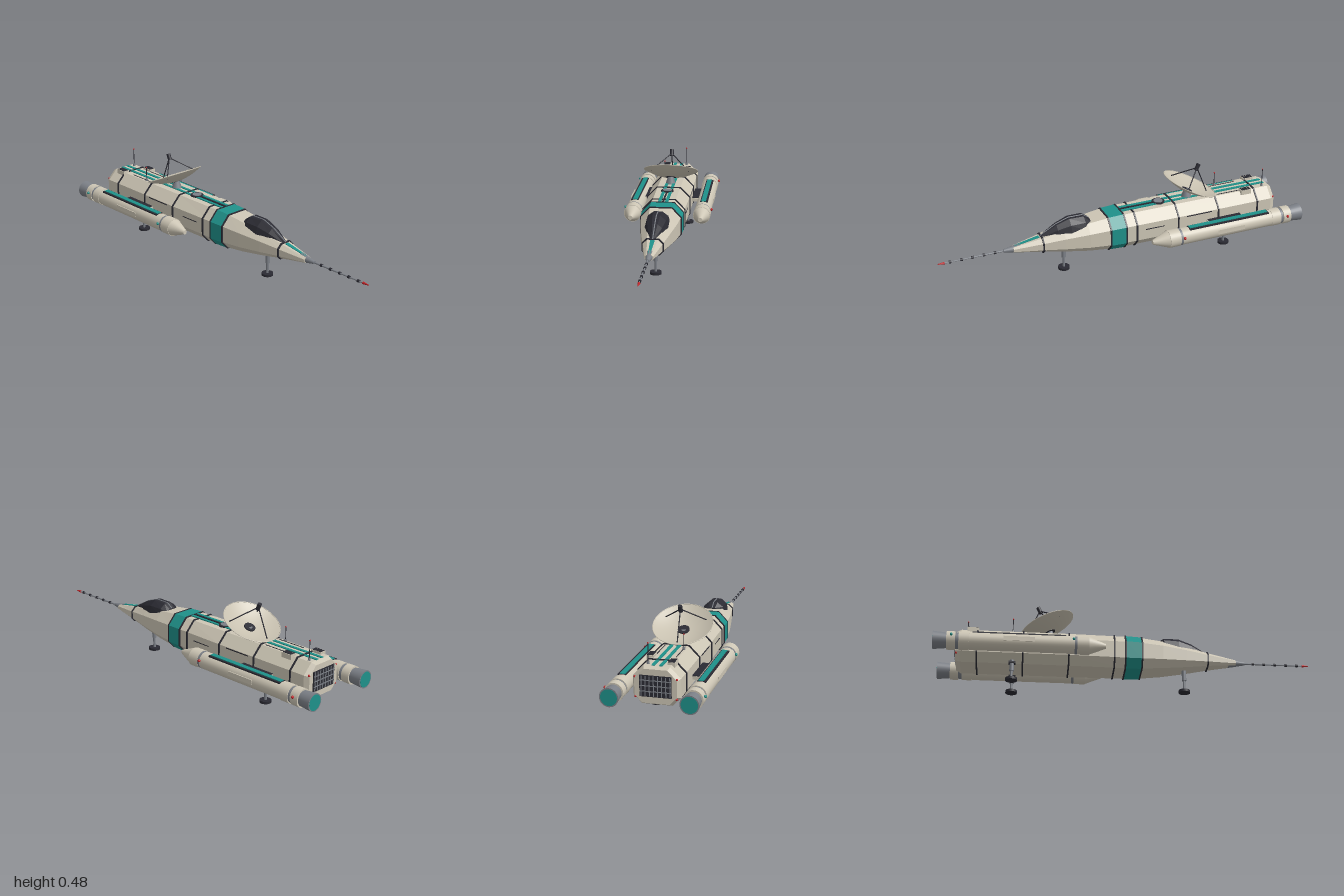
import * as THREE from 'three';

const mat = (name, color, side = THREE.FrontSide, flatShading = false) => {
  const m = new THREE.MeshStandardMaterial({ color, side, flatShading });
  m.name = name;
  return m;
};

export function createModel() {
  const ship = new THREE.Group();
  ship.name = 'spaceship';
  const cream = mat('hull cream', 0xcdc6b5);
  const teal = mat('trim teal', 0x1f918a);
  const dark = mat('dark trim', 0x2b2b33);
  const grey = mat('metal grey', 0x7c8087);
  const red = mat('signal red', 0xc02428);
  const dishCream = mat('dish cream', 0xc8c1b0, THREE.DoubleSide);

  const add = (name, geo, material, parent = ship) => {
    const m = new THREE.Mesh(geo, material);
    m.name = name;
    parent.add(m);
    return m;
  };
  const box = (name, x0, x1, y0, y1, z0, z1, material, parent) =>
    add(name, new THREE.BoxGeometry(x1 - x0, y1 - y0, z1 - z0)
      .translate((x0 + x1) / 2, (y0 + y1) / 2, (z0 + z1) / 2), material, parent);
  // cylinder along x
  const rodX = (name, x0, x1, r0, r1, y, z, material, parent, sides = 24) =>
    add(name, new THREE.CylinderGeometry(r1, r0, x1 - x0, sides)
      .rotateZ(-Math.PI / 2).translate((x0 + x1) / 2, y, z), material, parent);
  // upright cylinder
  const post = (name, x, z, y0, y1, r0, r1, material, parent, sides = 20) =>
    add(name, new THREE.CylinderGeometry(r1, r0, y1 - y0, sides)
      .translate(x, (y0 + y1) / 2, z), material, parent);
  const bead = (name, x, y, z, r, material, parent) =>
    add(name, new THREE.SphereGeometry(r, 12, 8).translate(x, y, z), material, parent);
  // thin bar between two points
  const bar = (name, a, b, r, material, parent, sides = 8) => {
    const d = b.clone().sub(a);
    const m = add(name, new THREE.CylinderGeometry(r, r, d.length(), sides), material, parent);
    m.position.copy(a).addScaledVector(d, 0.5);
    m.quaternion.setFromUnitVectors(new THREE.Vector3(0, 1, 0), d.normalize());
    return m;
  };
  // flat-faced skin over rings of [x, y, z], ordered from low x to high x
  const loft = (rings) => {
    const v = [], n = rings[0].length;
    for (let r = 0; r + 1 < rings.length; r++) {
      const a = rings[r], b = rings[r + 1];
      for (let i = 0; i < n; i++) {
        const j = (i + 1) % n;
        v.push(...a[i], ...a[j], ...b[j], ...a[i], ...b[j], ...b[i]);
      }
    }
    const a = rings[0], b = rings[rings.length - 1];
    for (let i = 1; i + 1 < n; i++) v.push(...a[0], ...a[i + 1], ...a[i], ...b[0], ...b[i], ...b[i + 1]);
    const g = new THREE.BufferGeometry();
    g.setAttribute('position', new THREE.Float32BufferAttribute(v, 3));
    g.computeVertexNormals();
    return g;
  };

  // hull stations: x, half width, bottom, top
  const stations = [
    [-0.89, 0.104, 0.112, 0.28], [-0.865, 0.117, 0.1, 0.29], [-0.3, 0.117, 0.1, 0.29],
    [0, 0.11, 0.1, 0.288], [0.09, 0.106, 0.103, 0.284], [0.2, 0.095, 0.113, 0.272],
    [0.33, 0.073, 0.13, 0.25], [0.445, 0.051, 0.148, 0.225], [0.6, 0.022, 0.168, 0.196]];
  const at = (x) => {
    let i = 0;
    while (i < stations.length - 2 && x > stations[i + 1][0]) i++;
    const a = stations[i], b = stations[i + 1], t = (x - a[0]) / (b[0] - a[0]);
    return a.map((q, k) => q + (b[k] - q) * t);
  };
  const octagon = (x, grow = 0) => {
    const s = at(x), w = s[1] + grow, lo = s[2] - grow, hi = s[3] + grow, h = hi - lo;
    const t = w * 0.55, b = w * 0.64, y1 = lo + h * 0.23, y2 = lo + h * 0.72;
    return [[x, y1, -w], [x, y2, -w], [x, hi, -t], [x, hi, t], [x, y2, w], [x, y1, w], [x, lo, b], [x, lo, -b]];
  };
  add('hull', loft(stations.map((s) => octagon(s[0]))), cream);
  add('tealBand', loft([octagon(0, 0.003), octagon(0.085, 0.003)]), teal);
  for (const x of [-0.78, -0.54, -0.3, -0.06, -0.001, 0.087, 0.445])
    add('seamBand', loft([octagon(x - 0.004, 0.005), octagon(x + 0.004, 0.005)]), dark);

  // nose cap and probe
  rodX('noseCap', 0.56, 0.65, 0.025, 0.008, 0.182, 0, grey);
  rodX('probe', 0.64, 0.98, 0.005, 0.003, 0.182, 0, grey, ship, 10);
  for (const x of [0.69, 0.75, 0.81, 0.87, 0.93]) rodX('probeRing', x, x + 0.012, 0.0075, 0.0075, 0.182, 0, dark, ship, 12);
  rodX('probeTip', 0.965, 1, 0.007, 0.002, 0.182, 0, red, ship, 12);
  const noseStripe = (x, z) => [[x, at(x)[3] - 0.004, -z], [x, at(x)[3] + 0.003, -z], [x, at(x)[3] + 0.003, z], [x, at(x)[3] - 0.004, z]];
  add('noseStripe', loft([noseStripe(0.455, 0.011), noseStripe(0.59, 0.006)]), teal);

  // faceted canopy: x, half width, base, top
  const canopyStations = [[0.175, 0.05, 0.255, 0.28], [0.21, 0.066, 0.243, 0.303], [0.29, 0.062, 0.235, 0.304],
    [0.36, 0.046, 0.226, 0.279], [0.45, 0.014, 0.205, 0.228]];
  add('canopy', loft(canopyStations.map(([x, w, lo, hi]) => {
    const mid = lo + (hi - lo) * 0.62;
    return [[x, lo, -w], [x, mid, -w * 0.8], [x, hi, -w * 0.32], [x, hi, w * 0.32], [x, mid, w * 0.8], [x, lo, w]];
  })), dark);
  for (let i = 0; i + 1 < canopyStations.length; i++) {
    const [p, q] = [canopyStations[i], canopyStations[i + 1]];
    bar('canopyFrame', new THREE.Vector3(p[0], p[3], 0), new THREE.Vector3(q[0], q[3], 0), 0.003, grey);
  }

  // top stripes, hatch and spine
  for (const s of [-1, 1]) {
    const z0 = s < 0 ? -0.027 : 0.011;
    box('topStripe', -0.865, -0.005, 0.286, 0.294, z0, z0 + 0.016, teal);
  }
  box('spine', -0.2, 0, 0.286, 0.295, -0.004, 0.004, dark);
  post('hatchRim', -0.23, 0, 0.285, 0.296, 0.035, 0.035, dark);
  post('hatchLid', -0.23, 0, 0.29, 0.299, 0.025, 0.025, grey);

  // roof vents and equipment boxes
  for (const [x, z] of [[-0.725, -0.068], [-0.805, 0.06]]) {
    box('ventBase', x - 0.03, x + 0.03, 0.275, 0.301, z - 0.018, z + 0.018, cream);
    for (let i = 0; i < 4; i++) box('ventSlat', x - 0.026 + i * 0.014, x - 0.016 + i * 0.014, 0.298, 0.304, z - 0.015, z + 0.015, dark);
  }
  for (const s of [-1, 1]) {
    // flank slots and access panels
    box('sideSlot', -0.5, -0.35, 0.229, 0.234, s * 0.117 - 0.002, s * 0.117 + 0.002, dark);
    box('sideSlot', -0.22, -0.11, 0.2, 0.204, s * 0.114 - 0.002, s * 0.114 + 0.002, dark);
    box('roofSlot', -0.72, -0.56, 0.287, 0.292, s * 0.052 - 0.002, s * 0.052 + 0.002, dark);
    bead('tailLight', -0.885, 0.237, s * 0.102, 0.006, red);
    bead('tailLight', -0.885, 0.14, s * 0.1, 0.006, red);
  }

  // tail grille
  box('tailGrille', -0.895, -0.888, 0.145, 0.25, -0.078, 0.078, dark);
  for (let i = 0; i < 8; i++) box('grilleBar', -0.898, -0.892, 0.148, 0.247, -0.071 + i * 0.02, -0.067 + i * 0.02, grey);
  for (const y of [0.17, 0.197, 0.224]) box('grilleBar', -0.898, -0.892, y, y + 0.004, -0.076, 0.076, grey);

  // whip antennas
  for (const [x, z, top] of [[-0.84, -0.05, 0.392], [-0.597, 0.055, 0.368]]) {
    post('antennaBase', x, z, 0.285, 0.303, 0.008, 0.006, grey);
    post('antenna', x, z, 0.3, top, 0.002, 0.002, dark, ship, 8);
    bead('antennaTip', x, top, z, 0.004, red);
  }

  // dish on its pedestal, tilted to the rear
  post('dishPedestal', -0.4, 0, 0.285, 0.33, 0.03, 0.015, grey);
  const dish = new THREE.Group();
  dish.name = 'dish';
  dish.position.set(-0.4, 0.324, 0);
  dish.rotation.z = 0.436;
  ship.add(dish);
  const bowl = [];
  for (let i = 0; i <= 8; i++) bowl.push(new THREE.Vector2(0.153 * i / 8, 0.042 * (i / 8) ** 2));
  add('dishBowl', new THREE.LatheGeometry(bowl, 32), dishCream, dish);
  add('dishRim', new THREE.TorusGeometry(0.153, 0.002, 6, 32).rotateX(Math.PI / 2).translate(0, 0.042, 0), cream, dish);
  post('dishHub', 0, 0, 0, 0.008, 0.03, 0.03, dark, dish);
  for (let i = 0; i < 3; i++) {
    const a = Math.PI + i * Math.PI * 2 / 3;
    bar('feedStrut', new THREE.Vector3(0.122 * Math.cos(a), 0.027, 0.122 * Math.sin(a)), new THREE.Vector3(0, 0.14, 0), 0.003, dark, dish);
  }
  post('feedHorn', 0, 0, 0.125, 0.162, 0.011, 0.011, dark, dish);

  // engine pods with pylons
  const py = 0.164;
  for (const s of [-1, 1]) {
    const pod = new THREE.Group();
    pod.name = s > 0 ? 'leftPod' : 'rightPod';
    ship.add(pod);
    const z = s * 0.193;
    const seg = (name, x0, x1, r0, r1, m) => rodX(name, x0, x1, r0, r1, py, z, m, pod, 28);
    seg('nozzle', -1, -0.93, 0.047, 0.04, grey);
    seg('engineGlow', -1.0, -0.99, 0.041, 0.041, teal).position.x = -0.001;
    seg('rearCollar', -0.93, -0.885, 0.048, 0.048, cream);
    seg('groove', -0.89, -0.865, 0.043, 0.043, grey);
    seg('rearCollar', -0.868, -0.815, 0.048, 0.048, cream);
    seg('podBody', -0.82, -0.26, 0.0455, 0.0455, cream);
    seg('frontGroove', -0.275, -0.262, 0.0465, 0.0465, grey);
    seg('frontCollar', -0.262, -0.2, 0.048, 0.048, cream);
    seg('podNose', -0.2, -0.112, 0.046, 0.012, cream);
    // stripe on top, panel on the flank, running lights
    const zs = (a, b) => (s > 0 ? [a, b] : [-b, -a]);
    box('podStripeBase', -0.8, -0.32, 0.196, 0.2095, ...zs(0.175, 0.217), dark, pod);
    box('podStripe', -0.795, -0.325, 0.2, 0.213, ...zs(0.181, 0.207), teal, pod);
    box('podPanel', -0.64, -0.48, 0.155, 0.18, ...zs(0.234, 0.2405), cream, pod);
    for (const x of [-0.905, -0.28]) bead('runningLight', x, 0.177, s * 0.243, 0.0075, s > 0 ? teal : red, pod);
    box('pylon', -0.67, -0.47, 0.166, 0.185, ...zs(0.1, 0.16), cream, pod);
    box('pylonCover', -0.67, -0.475, 0.183, 0.188, ...zs(0.1, 0.16), dark, pod);
  }

  // landing legs
  for (const [name, x, z, knee, top] of [['frontLeg', 0.32, 0, 0.07, 0.126],
    ['rearLeftLeg', -0.595, 0.084, 0.055, 0.115], ['rearRightLeg', -0.595, -0.084, 0.055, 0.115]]) {
    const leg = new THREE.Group();
    leg.name = name;
    ship.add(leg);
    post('foot', x, z, 0, 0.013, 0.031, 0.031, dark, leg);
    post('piston', x, z, 0.012, knee + 0.005, 0.007, 0.007, grey, leg);
    post('sleeve', x, z, knee, top, 0.012, 0.012, grey, leg);
    if (z) box('legMount', x - 0.018, x + 0.018, 0.095, 0.106, z - 0.014, z + 0.014, dark, leg);
  }
  return ship;
}
